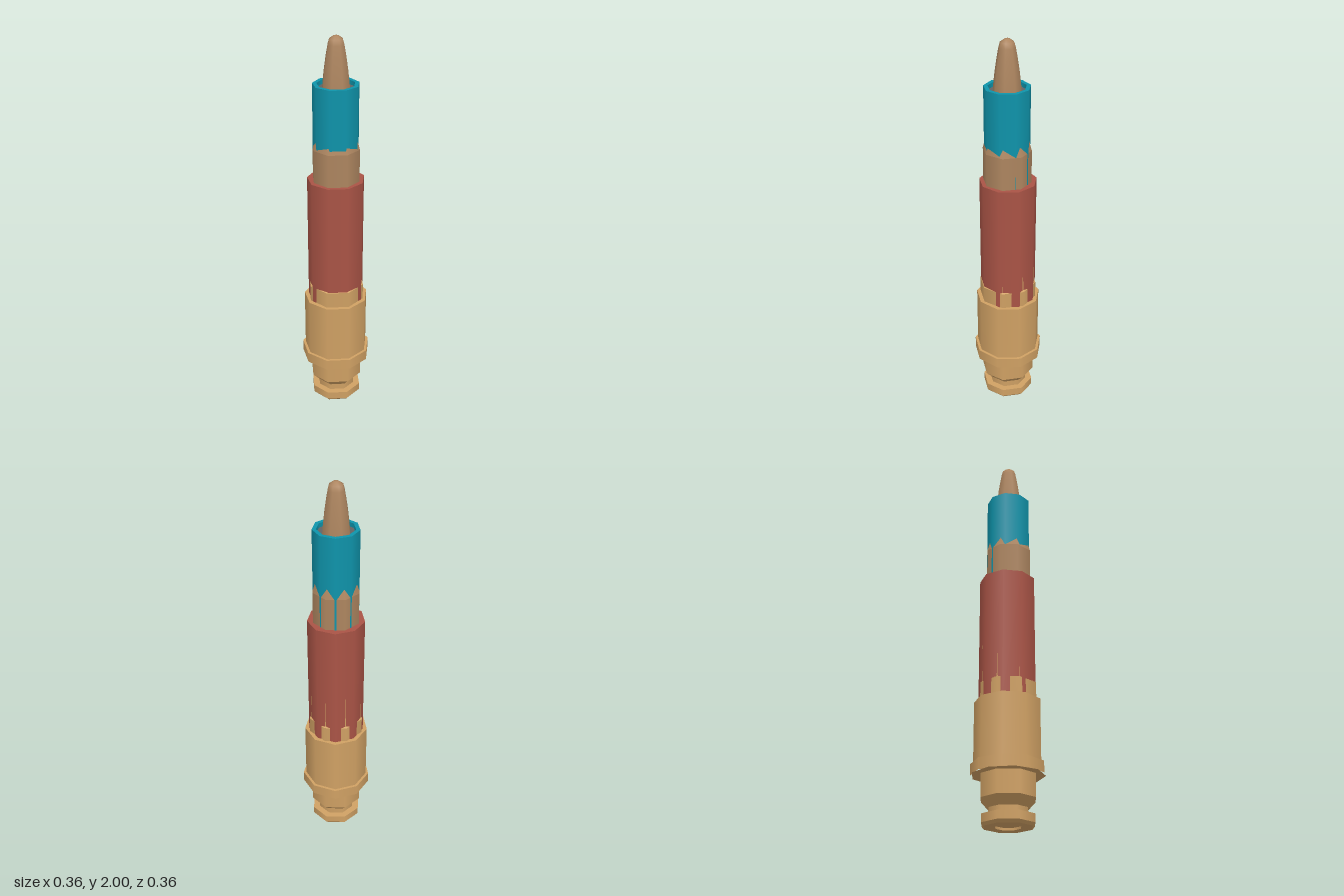
import * as THREE from 'three';
import { mergeGeometries } from 'three/addons/utils/BufferGeometryUtils.js';

const mat = (name, color) => Object.assign(new THREE.MeshStandardMaterial({ color }), { name });

// Stack of open faceted bands: each profile step [radius, y] to the next.
// Normals run smoothly around each band and stay sharp between bands.
function bands(profile, sides, start) {
  const parts = [];
  for (let i = 0; i < profile.length - 1; i++) {
    const [r0, y0] = profile[i];
    const [r1, y1] = profile[i + 1];
    if (y1 < y0) { // downward step: an inner wall facing the axis
      const g = new THREE.CylinderGeometry(r0, r1, y0 - y1, sides, 1, true, start);
      const idx = g.index.array;
      for (let k = 0; k < idx.length; k += 3) [idx[k], idx[k + 1]] = [idx[k + 1], idx[k]];
      const n = g.attributes.normal.array;
      for (let k = 0; k < n.length; k++) n[k] = -n[k];
      parts.push(g.translate(0, (y0 + y1) / 2, 0));
    } else if (y1 === y0) { // flat ring, facing up when narrowing, down when widening
      const g = new THREE.RingGeometry(Math.min(r0, r1), Math.max(r0, r1), sides, 1, start - Math.PI / 2);
      g.rotateX(r1 < r0 ? -Math.PI / 2 : Math.PI / 2);
      parts.push(g.translate(0, y0, 0));
    } else {
      const g = new THREE.CylinderGeometry(r1, r0, y1 - y0, sides, 1, true, start);
      parts.push(g.translate(0, (y0 + y1) / 2, 0));
    }
  }
  return mergeGeometries(parts);
}

export function createModel() {
  const brass = mat('brass', 0xd0a164);
  const copper = mat('copper', 0xae8660);
  const teal = mat('teal', 0x0f94ab);
  const red = mat('red', 0xaa5446);
  const grey = mat('grey', 0x646464);
  const group = new THREE.Group();

  const add = (name, geometry, material, z) => {
    const mesh = new THREE.Mesh(geometry, material);
    mesh.name = name;
    mesh.position.z = z;
    group.add(mesh);
    return mesh;
  };
  // Nine-sided parts have a corner at the back; eight-sided parts have flat front and back
  const nine = (name, profile, material, z) => add(name, bands(profile, 9, Math.PI), material, z);
  const eight = (name, profile, material, z) => add(name, bands(profile, 8, Math.PI / 8), material, z);

  // Inner case: rim, extractor groove, tapered wall just breaking through the sleeve
  eight('case', [
    [0.065, 0], [0.122, 0], [0.135, 0.014], [0.135, 0.055], [0.1, 0.055], [0.1, 0.087],
    [0.14, 0.13], [0.14, 0.3], [0.148, 0.31], [0.148, 0.7], [0.1395, 0.705],
    [0.1375, 1.05], [0.136, 1.28], [0.09, 1.28],
  ], brass, 0.006);

  // Primer recess in the base
  eight('primerWall', [[0.065, 0.012], [0.065, 0]], brass, 0.006);
  const primer = new THREE.CircleGeometry(0.065, 8, Math.PI / 8).rotateX(Math.PI / 2).translate(0, 0.012, 0);
  add('primer', primer, brass, 0.006);

  // Flange and lower collar
  nine('flange', [[0.12, 0.245], [0.181, 0.245], [0.181, 0.302], [0.16, 0.302]], brass, 0.005);
  nine('collar', [[0.167, 0.302], [0.167, 0.615], [0.13, 0.615]], brass, 0.005);

  // Red sleeve
  nine('redSleeve', [[0.145, 0.61], [0.145, 1.285], [0.09, 1.285]], red, 0.004);

  // Teal tube with an open top, and the grey floor inside it
  nine('tealTube', [[0.1145, 1.27], [0.1145, 1.772], [0.094, 1.772], [0.094, 1.745]], teal, 0.0085);
  nine('tubeFloor', [[0.095, 1.75], [0.04, 1.75]], grey, 0.0085);

  // Copper core: widest below the tube, then a rounded nose
  eight('coreBody', [[0.1218, 1.27], [0.1218, 1.453], [0.1, 1.53], [0.071, 1.74]], copper, 0.0085);
  const nose = [[0.07, 1.74], [0.066, 1.79], [0.059, 1.85], [0.05, 1.91], [0.041, 1.96], [0.034, 1.985], [0.013, 2], [0, 2]]
    .map(([r, y]) => new THREE.Vector2(r, y));
  add('nose', new THREE.LatheGeometry(nose, 8, Math.PI / 8), copper, 0.0085);

  return group;
}
